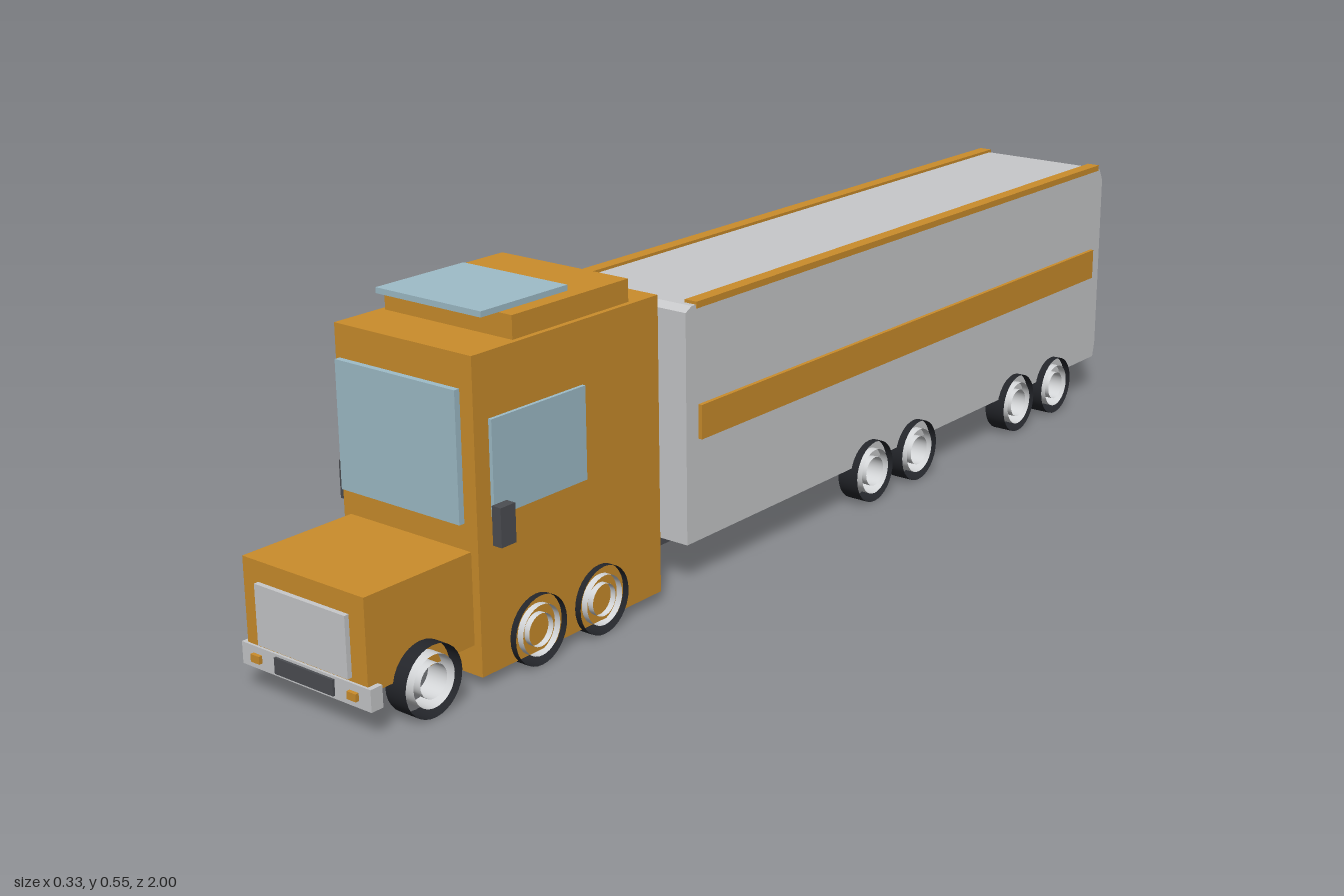
import * as THREE from 'three';

const paint = (name, color, side = THREE.FrontSide) =>
  Object.assign(new THREE.MeshStandardMaterial({ color, side }), { name });

export function createModel() {
  const orange = paint('orange paint', 0xcb8d2b);
  const grey = paint('light grey panel', 0xc8c9cb);
  const glass = paint('pale blue glass', 0x9fbdc9);
  const dark = paint('dark grey', 0x4c4e53);
  const rubber = paint('black rubber', 0x24262b, THREE.DoubleSide);
  const chrome = paint('bright rim', 0xd6d8da, THREE.DoubleSide);

  const truck = new THREE.Group();
  truck.name = 'articulatedTruck';

  // Box given by its minimum and maximum on each axis
  const box = (name, mat, [x0, x1], [y0, y1], [z0, z1]) => {
    const mesh = new THREE.Mesh(new THREE.BoxGeometry(x1 - x0, y1 - y0, z1 - z0), mat);
    mesh.position.set((x0 + x1) / 2, (y0 + y1) / 2, (z0 + z1) / 2);
    mesh.name = name;
    truck.add(mesh);
  };
  const wide = (name, mat, half, y, z) => box(name, mat, [-half, half], y, z);
  const pair = (name, mat, [x0, x1], y, z) => {
    box(name + 'Left', mat, [x0, x1], y, z);
    box(name + 'Right', mat, [-x1, -x0], y, z);
  };

  // Tractor
  wide('chassis', dark, 0.06, [0.047, 0.072], [-0.745, 0.998]);
  wide('cab', orange, 0.137, [0.018, 0.5], [0.385, 0.784]);
  wide('roofBlock', orange, 0.128, [0.5, 0.536], [0.442, 0.692]);
  wide('roofVisor', glass, 0.105, [0.537, 0.546], [0.55, 0.73]);
  wide('hood', orange, 0.123, [0.065, 0.208], [0.784, 0.99]);
  wide('windshield', glass, 0.12, [0.253, 0.452], [0.792, 0.802]);
  wide('grille', grey, 0.092, [0.082, 0.176], [0.99, 0.998]);
  wide('bumper', grey, 0.132, [0.042, 0.076], [0.972, 0.994]);
  pair('headlamp', orange, [0.09, 0.108], [0.053, 0.065], [0.993, 1]);
  pair('sideWindow', glass, [0.136, 0.143], [0.256, 0.402], [0.558, 0.755]);
  pair('mirror', dark, [0.148, 0.165], [0.218, 0.278], [0.735, 0.765]);

  // Trailer: side profile with clipped corners, extruded across the width
  const half = 0.134;
  const profile = new THREE.Shape([
    [-0.315, 0.072], [0.984, 0.072], [0.99, 0.1], [0.99, 0.435], [0.978, 0.458],
    [0.965, 0.463], [-0.3, 0.463], [-0.315, 0.455],
  ].map(([a, b]) => new THREE.Vector2(a, b)));
  const body = new THREE.Mesh(
    new THREE.ExtrudeGeometry(profile, { depth: half * 2, bevelEnabled: false }), grey);
  body.rotation.y = Math.PI / 2;
  body.position.x = -half;
  body.name = 'trailerBody';
  truck.add(body);
  wide('trailerDoor', grey, 0.12, [0.09, 0.442], [-0.995, -0.988]);
  pair('trailerStripe', orange, [0.133, 0.141], [0.243, 0.3], [-0.955, 0.285]);
  pair('roofRail', orange, [0.112, 0.136], [0.457, 0.468], [-0.97, 0.29]);
  pair('tailLamp', orange, [0.101, 0.117], [0.12, 0.14], [-1, -0.993]);

  // Wheels: open drums for the tyre, rim and hub, seen through at the ends
  const drums = [
    ['tyre', 0.055, 0.04, rubber],
    ['rim', 0.04, 0.04, chrome],
    ['hub', 0.026, 0.038, chrome],
  ].map(([name, r, w, mat]) => [
    name, new THREE.CylinderGeometry(r, r, w, 32, 1, true).rotateZ(Math.PI / 2), mat]);
  for (const z of [0.89, 0.67, 0.53, -0.19, -0.33, -0.675, -0.815]) {
    for (const side of [-1, 1]) {
      const wheel = new THREE.Group();
      wheel.name = side > 0 ? 'wheelLeft' : 'wheelRight';
      for (const [name, geo, mat] of drums) {
        const mesh = new THREE.Mesh(geo, mat);
        mesh.name = name;
        wheel.add(mesh);
      }
      wheel.position.set(side * 0.128, 0.055, z);
      truck.add(wheel);
    }
  }
  return truck;
}
